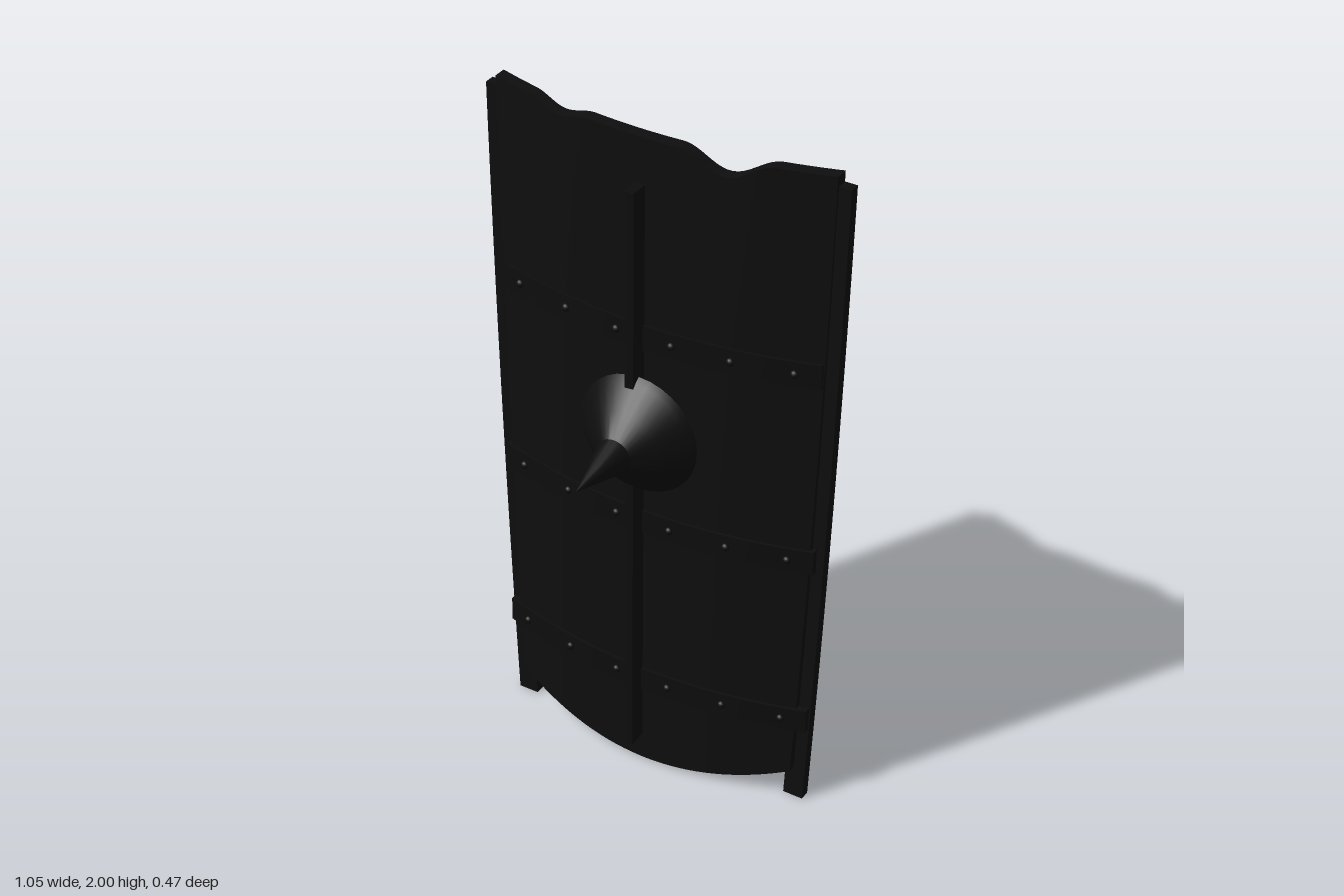
import * as THREE from 'three';
import { toCreasedNormals } from 'three/addons/utils/BufferGeometryUtils.js';

const mat = (name, color) => {
  const m = new THREE.MeshStandardMaterial({ color });
  m.name = name;
  return m;
};

// Outer edge of the side rails and bow of the board
const edgeX = y => 0.47 + 0.0425 * y - 0.0075 * y * y;
const bow = x => -0.33 * x * x;

// Smooth notch cut into the top edge
const notch = (x, centre, half, depth) => {
  const t = Math.abs(x - centre) / half;
  return t < 1 ? depth * (0.5 + 0.5 * Math.cos(Math.PI * t)) : 0;
};
const topY = x => 2 - notch(x, -0.27, 0.1, 0.022) - notch(x, 0.215, 0.13, 0.052);
const bottomY = x => 0.005 + 0.095 * (x / 0.41) ** 2;

// Move every vertex of a geometry by a rule
function reshape(geo, rule) {
  const p = geo.attributes.position, v = new THREE.Vector3();
  for (let i = 0; i < p.count; i++) {
    v.fromBufferAttribute(p, i);
    rule(v);
    p.setXYZ(i, v.x, v.y, v.z);
  }
  geo.computeVertexNormals();
  return geo;
}

export function createModel() {
  const root = new THREE.Group();
  root.name = 'towerShield';
  const black = mat('blackened board', 0x0e0e0e);
  const iron = mat('dark iron', 0x0d0d0d);
  const gripWood = mat('grip wood', 0xa67f59);
  const battenWood = mat('batten wood', 0x8c6a55);

  const add = (name, geo, material, x = 0, y = 0, z = 0) => {
    const m = new THREE.Mesh(geo, material);
    m.name = name;
    m.position.set(x, y, z);
    root.add(m);
    return m;
  };

  // Bowed board, tapering downward, with notched top and rounded foot
  add('board', reshape(new THREE.BoxGeometry(2, 1, 0.037, 72, 24, 1), v => {
    const t = v.y + 0.5, u = v.x;
    const half = edgeX(0.1 + 1.9 * t) - 0.035;
    v.x = u * half;
    const lo = bottomY(u * 0.42), hi = topY(u * 0.49);
    v.y = lo + (hi - lo) * t;
    v.z += -0.1175 + bow(v.x);
  }), black);

  // Side rails
  for (const s of [-1, 1]) {
    add(s > 0 ? 'leftRail' : 'rightRail',
      reshape(new THREE.BoxGeometry(0.06, 1.97, 0.03, 1, 16, 1), v => {
        v.y += 0.985;
        v.x += s * (edgeX(v.y) - 0.03);
        v.z -= 0.2;
      }), black);
  }

  // Riveted iron bands following the bow
  for (const y of [0.297, 0.84, 1.425]) {
    add('band', reshape(new THREE.BoxGeometry(0.956, 0.074, 0.022, 36, 1, 1), v => {
      v.z += -0.102 + bow(v.x);
    }), iron, 0, y, 0);
    for (const x of [-0.41, -0.245, -0.082, 0.082, 0.245, 0.41]) {
      const rivet = add('rivet', new THREE.SphereGeometry(0.012, 12, 8), iron, x, y, -0.092 + bow(x));
      rivet.scale.z = 0.9;
    }
  }

  // Central rib, its narrow edge showing through at the back
  const ribShape = new THREE.Shape([
    [-0.026, 0.045], [-0.026, 0.12], [-0.006, 0.145], [0, 0.12], [0, 0.045],
  ].map(([x, z]) => new THREE.Vector2(x, z)));
  const rib = new THREE.ExtrudeGeometry(ribShape, { depth: 1.78, bevelEnabled: false });
  rib.rotateX(-Math.PI / 2);
  // Extrusion now runs up y, with shape depth along -z
  add('rib', rib, iron, 0, 0.09, 0);

  // Spiked boss
  const profile = [
    [0, -0.078], [0.17, -0.078], [0.176, -0.073], [0.164, -0.056],
    [0.105, 0.002], [0.051, 0.05], [0.026, 0.14], [0, 0.235],
  ].map(([r, h]) => new THREE.Vector2(r, h));
  const boss = new THREE.LatheGeometry(profile, 32).rotateX(Math.PI / 2);
  add('boss', toCreasedNormals(boss, 0.45), iron, 0, 1.14, 0);

  // Grip and its brackets
  add('grip', new THREE.CylinderGeometry(0.026, 0.026, 0.252, 16).rotateZ(Math.PI / 2),
    gripWood, 0, 1.002, -0.214);
  for (const s of [-1, 1]) {
    const bracket = add('gripBracket', new THREE.BoxGeometry(0.036, 0.05, 0.1),
      iron, s * 0.148, 1.002, -0.183);
    bracket.rotation.y = s * 0.1;
  }

  // Upright battens on the back
  for (const s of [-1, 1]) {
    add(s > 0 ? 'leftBatten' : 'rightBatten', new THREE.BoxGeometry(0.01, 1.55, 0.052),
      battenWood, s * 0.271, 1.01, -0.181);
  }
  return root;
}
